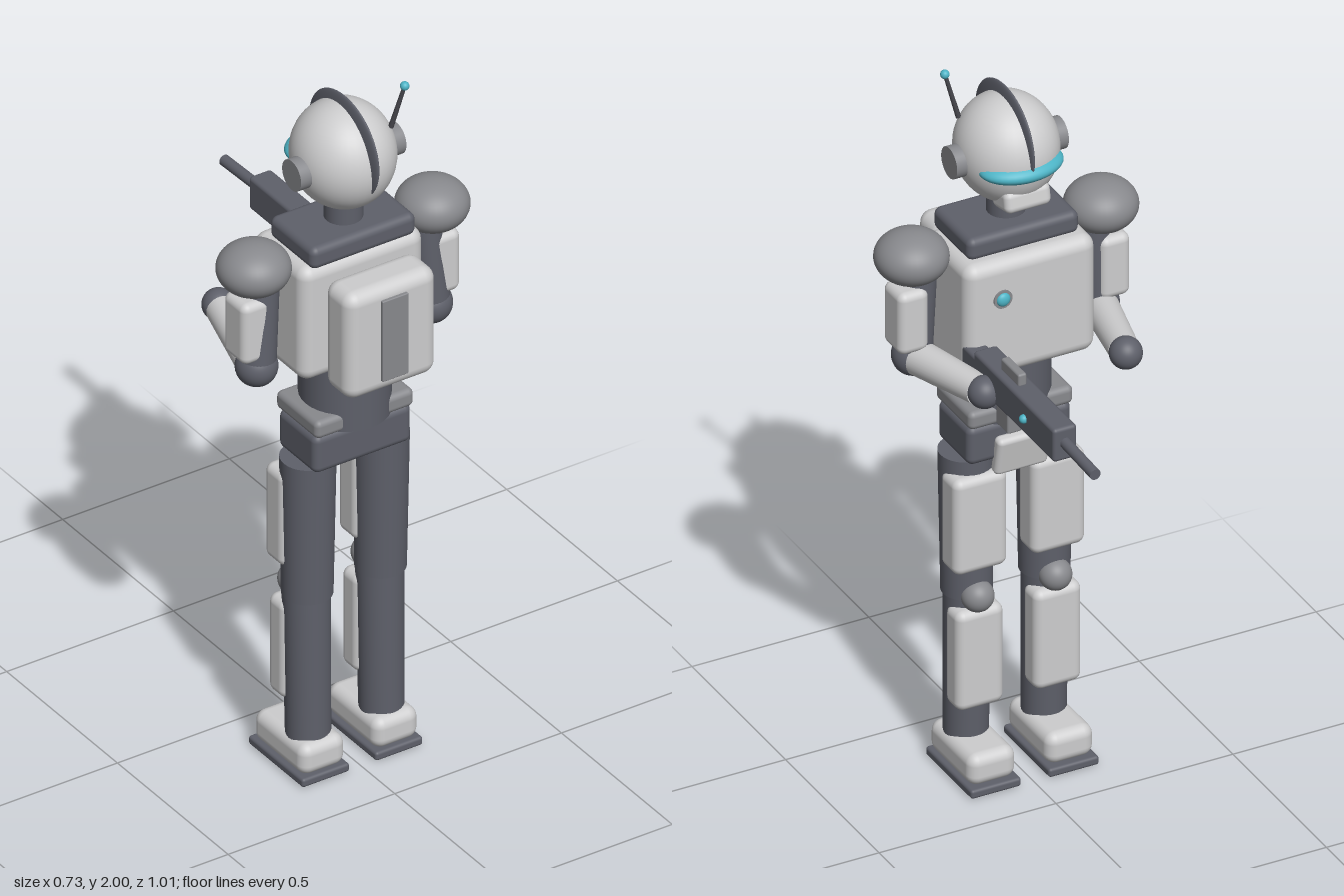
import * as THREE from 'three';
import { RoundedBoxGeometry } from 'three/addons/geometries/RoundedBoxGeometry.js';

const mat = (name, color) => {
  const m = new THREE.MeshStandardMaterial({ color });
  m.name = name;
  return m;
};

export function createModel() {
  const light = mat('light shell', 0xcdcdce);
  const mid = mat('mid grey', 0x88898d);
  const dark = mat('dark blue grey', 0x5e606a);
  const black = mat('charcoal', 0x434349);
  const teal = mat('teal glow', 0x4db4c6);

  const model = new THREE.Group();
  model.name = 'robot';
  const group = (name) => {
    const g = new THREE.Group();
    g.name = name;
    model.add(g);
    return g;
  };
  const add = (parent, name, geometry, material, [x, y, z]) => {
    const mesh = new THREE.Mesh(geometry, material);
    mesh.name = name;
    mesh.position.set(x, y, z);
    parent.add(mesh);
    return mesh;
  };
  const box = (parent, name, material, pos, [w, h, d], r = 0.02) =>
    add(parent, name, new RoundedBoxGeometry(w, h, d, 4, r), material, pos);
  const ball = (parent, name, material, pos, [rx, ry = rx, rz = rx]) =>
    add(parent, name, new THREE.SphereGeometry(1, 40, 28).scale(rx, ry, rz), material, pos);
  // Cylinder running from point a (radius ra) to point b (radius rb)
  const rod = (parent, name, material, a, b, ra, rb = ra) => {
    const from = new THREE.Vector3(...a), to = new THREE.Vector3(...b);
    const dir = to.clone().sub(from);
    const mid = from.clone().add(to).multiplyScalar(0.5);
    const mesh = add(parent, name, new THREE.CylinderGeometry(rb, ra, dir.length(), 32), material, mid.toArray());
    mesh.quaternion.setFromUnitVectors(new THREE.Vector3(0, 1, 0), dir.normalize());
    return mesh;
  };

  // Head, looking toward -z
  const head = group('head');
  ball(head, 'skull', light, [0, 1.79, 0.266], [0.134, 0.146, 0.142]);
  ball(head, 'crest', dark, [0, 1.82, 0.272], [0.016, 0.142, 0.157]);
  ball(head, 'visor', teal, [0, 1.777, 0.19], [0.115, 0.034, 0.08]);
  const jaw = box(head, 'jaw', light, [0, 1.69, 0.185], [0.13, 0.06, 0.09], 0.018);
  jaw.rotation.x = 0.2;
  rod(head, 'antenna', black, [0.1, 1.865, 0.332], [0.128, 1.988, 0.352], 0.007, 0.005);
  ball(head, 'antennaTip', teal, [0.128, 1.988, 0.352], [0.012]);
  for (const s of [-1, 1])
    rod(head, 'earDisc', mid, [s * 0.11, 1.78, 0.272], [s * 0.158, 1.78, 0.272], 0.043);
  rod(head, 'neck', dark, [0, 1.57, 0.268], [0, 1.69, 0.268], 0.05);

  // Torso
  const torso = group('torso');
  box(torso, 'collar', dark, [0, 1.572, 0.266], [0.315, 0.064, 0.2], 0.02);
  box(torso, 'chest', light, [0, 1.378, 0.244], [0.37, 0.338, 0.24], 0.035);
  rod(torso, 'chestLampSocket', mid, [0.085, 1.44, 0.13], [0.085, 1.44, 0.12], 0.026);
  ball(torso, 'chestLamp', teal, [0.085, 1.44, 0.121], [0.019, 0.019, 0.012]);
  rod(torso, 'waist', dark, [0, 1.035, 0.275], [0, 1.27, 0.275], 0.118);
  box(torso, 'belt', mid, [0, 1.06, 0.275], [0.295, 0.052, 0.19], 0.016);
  box(torso, 'pelvis', dark, [0, 0.98, 0.275], [0.293, 0.112, 0.172], 0.02);
  const plate = box(torso, 'hipPlate', light, [0, 0.94, 0.187], [0.15, 0.115, 0.035], 0.014);
  plate.rotation.x = -0.2;

  // Backpack
  const pack = group('backpack');
  box(pack, 'packShell', light, [0, 1.363, 0.437], [0.272, 0.315, 0.118], 0.036);
  box(pack, 'packPanel', mid, [0, 1.365, 0.495], [0.078, 0.24, 0.02], 0.003);

  for (const s of [-1, 1]) {
    const side = s > 0 ? 'left' : 'right';

    // Arm, bent forward at the elbow
    const arm = group(side + 'Arm');
    const elbow = [s * 0.262, 1.25, 0.27], hand = [s * 0.2, 1.265, 0.005];
    ball(arm, 'shoulder', mid, [s * 0.268, 1.542, 0.266], [0.096, 0.07, 0.096]);
    rod(arm, 'upperArm', dark, [s * 0.242, 1.5, 0.268], elbow, 0.043, 0.05);
    box(arm, 'upperArmPlate', light, [s * 0.285, 1.375, 0.262], [0.085, 0.18, 0.1], 0.022);
    ball(arm, 'elbow', dark, elbow, [0.055]);
    rod(arm, 'forearm', light, [s * 0.258, 1.25, 0.25], [s * 0.205, 1.263, 0.025], 0.047, 0.04);
    ball(arm, 'hand', black, hand, [0.043]).material = dark;

    // Leg with front armour
    const leg = group(side + 'Leg');
    const x = s * 0.11;
    rod(leg, 'thigh', dark, [x, 0.52, 0.27], [x, 0.928, 0.273], 0.066, 0.072);
    box(leg, 'thighPlate', light, [x, 0.75, 0.229], [0.152, 0.28, 0.09], 0.024);
    ball(leg, 'knee', mid, [x, 0.528, 0.212], [0.043]);
    rod(leg, 'shin', dark, [x, 0.1, 0.274], [x, 0.53, 0.266], 0.058, 0.062);
    box(leg, 'shinPlate', light, [x, 0.353, 0.226], [0.134, 0.29, 0.078], 0.024);
    box(leg, 'boot', light, [x, 0.068, 0.236], [0.134, 0.09, 0.232], 0.03);
    box(leg, 'sole', dark, [x, 0.0145, 0.233], [0.142, 0.025, 0.248], 0.008);
    box(leg, 'solePad', mid, [x, 0.004, 0.233], [0.09, 0.008, 0.18], 0.002);
  }

  // Blaster held in the hand on the +x side, pointing toward -z
  const blaster = group('blaster');
  box(blaster, 'body', dark, [0.156, 1.291, -0.13], [0.067, 0.096, 0.432], 0.01);
  rod(blaster, 'barrel', dark, [0.156, 1.295, -0.33], [0.156, 1.288, -0.505], 0.015);
  box(blaster, 'stock', dark, [0.156, 1.288, 0.12], [0.056, 0.06, 0.1], 0.01);
  box(blaster, 'sight', mid, [0.156, 1.353, -0.07], [0.024, 0.036, 0.096], 0.006);
  box(blaster, 'grip', mid, [0.156, 1.22, -0.043], [0.04, 0.09, 0.064], 0.006);
  ball(blaster, 'powerLight', teal, [0.192, 1.29, -0.19], [0.012]);

  return model;
}
